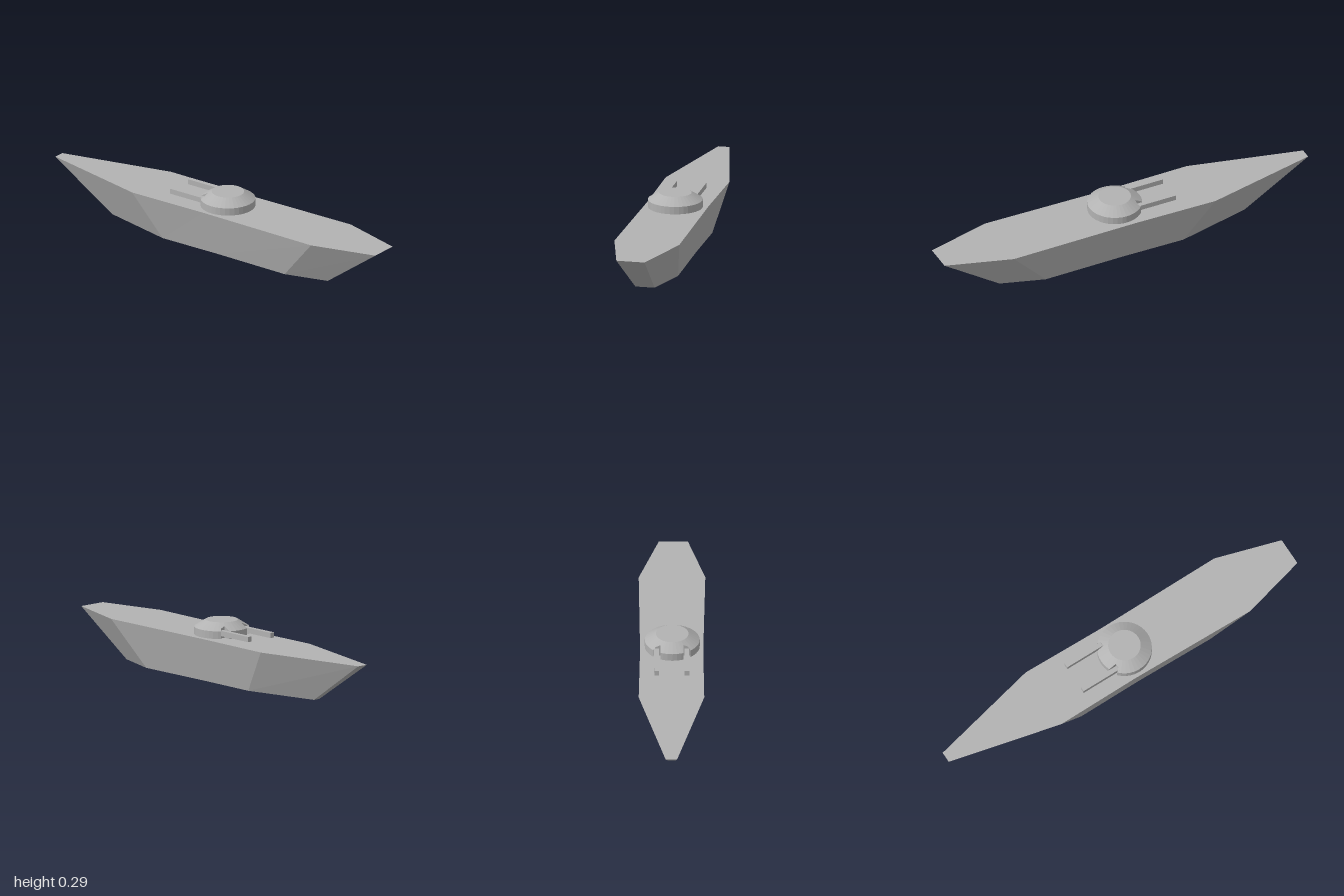
import * as THREE from 'three';

// Flat-shaded solid through stacked rings; rings run from +x towards +z, bottom to top.
function loft(rings) {
  const pos = [];
  const tri = (...pts) => pts.forEach((p) => pos.push(...p));
  const n = rings[0].length;
  const centre = (ring) => [0, 1, 2].map((k) => ring.reduce((s, p) => s + p[k], 0) / n);
  const low = rings[0], high = rings[rings.length - 1];
  const lowC = centre(low), highC = centre(high);
  for (let i = 0; i < n; i++) {
    const j = (i + 1) % n;
    for (let r = 0; r + 1 < rings.length; r++) {
      const a = rings[r], b = rings[r + 1];
      tri(a[i], b[i], a[j]);
      tri(a[j], b[i], b[j]);
    }
    tri(lowC, low[i], low[j]);
    tri(highC, high[j], high[i]);
  }
  const g = new THREE.BufferGeometry();
  g.setAttribute('position', new THREE.Float32BufferAttribute(pos, 3));
  g.computeVertexNormals();
  return g;
}

// Turret outline with two open slots for the guns, topped by a shallow cone
function turretGeometry() {
  const R = 0.135, RT = 0.08, wallTop = 0.26, top = 0.295, slotX = -0.085;
  const outline = [];
  const slot = (z1, z2) => {
    const rim = (z) => [-Math.sqrt(R * R - z * z), z];
    outline.push(rim(z1), [slotX, z1], [slotX, z2], rim(z2));
  };
  const N = 36;
  for (let i = 0; i < N; i++) {
    const deg = (i * 360) / N;
    if (deg === 140) slot(0.09, 0.055);
    if (deg === 210) slot(-0.058, -0.093);
    if ((deg > 132 && deg < 157) || (deg > 203 && deg < 228)) continue;
    const a = THREE.MathUtils.degToRad(deg);
    outline.push([R * Math.cos(a), R * Math.sin(a)]);
  }
  const coneY = (x, z) => top - ((Math.hypot(x, z) - RT) / (R - RT)) * (top - wallTop);
  return loft([
    outline.map(([x, z]) => [x, 0.215, z]),
    outline.map(([x, z]) => [x, coneY(x, z), z]),
    outline.map(([x, z]) => {
      const s = RT / Math.hypot(x, z);
      return [x * s, top, z * s];
    }),
  ]);
}

export function createModel() {
  const model = new THREE.Group();
  const grey = new THREE.MeshStandardMaterial({ color: 0xb2b2b2 });
  grey.name = 'hull grey';
  const add = (name, geometry, parent = model) => {
    const mesh = new THREE.Mesh(geometry, grey);
    mesh.name = name;
    parent.add(mesh);
    return mesh;
  };

  // Hull: flared sides, raked bow at -x and raked stern at +x
  const keel = [
    [0.69, 0.055], [0.47, 0.113], [0.05, 0.106], [-0.28, 0.108], [-0.66, 0.014],
    [-0.66, -0.02], [-0.28, -0.112], [0.05, -0.107], [0.47, -0.11], [0.69, -0.042],
  ];
  const deck = [
    [1, 0.08], [0.67, 0.165], [0, 0.153], [-0.43, 0.157], [-1, 0.022],
    [-1, -0.034], [-0.43, -0.165], [0, -0.157], [0.67, -0.162], [1, -0.062],
  ];
  add('hull', loft([keel.map(([x, z]) => [x, 0, z]), deck.map(([x, z]) => [x, 0.222, z])]));

  // Gun turret with twin square barrels pointing at the bow
  const turret = new THREE.Group();
  turret.name = 'gunTurret';
  turret.position.set(0.04, 0, 0.001);
  model.add(turret);
  add('turretBody', turretGeometry(), turret);
  for (const [name, z] of [['leftBarrel', 0.071], ['rightBarrel', -0.077]]) {
    add(name, new THREE.BoxGeometry(0.21, 0.026, 0.024), turret).position.set(-0.187, 0.249, z);
  }
  return model;
}
